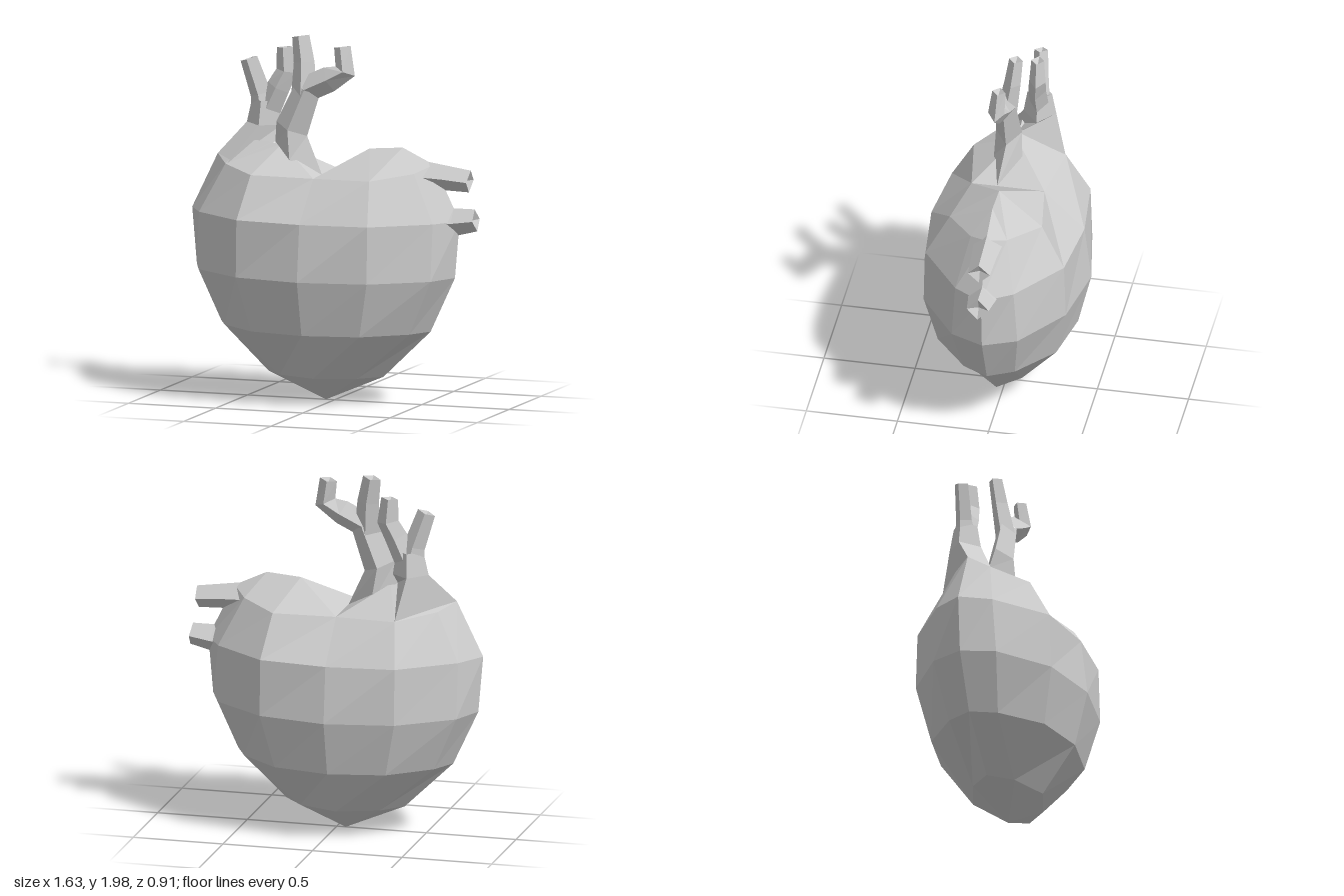
import * as THREE from 'three';

const V = (x, y, z) => new THREE.Vector3(x, y, z);
const material = new THREE.MeshStandardMaterial({ color: 0xcccccc, flatShading: true });

// Skins a stack of rings (each running +x, +z, -x, -z); an optional tip closes the last ring
function loft(name, rings, tip) {
  const pos = [];
  const tri = (a, b, c) => {
    const area = b.clone().sub(a).cross(c.clone().sub(a)).length();
    if (area > 1e-6) for (const p of [a, b, c]) pos.push(p.x, p.y, p.z);
  };
  const n = rings[0].length;
  for (let i = 0; i < rings.length - 1; i++) {
    for (let k = 0; k < n; k++) {
      const m = (k + 1) % n;
      const a = rings[i][k], b = rings[i][m], c = rings[i + 1][m], d = rings[i + 1][k];
      tri(a, d, b);
      tri(d, c, b);
    }
  }
  if (tip) {
    const last = rings[rings.length - 1];
    last.forEach((p, k) => tri(p, tip, last[(k + 1) % n]));
  }
  const geometry = new THREE.BufferGeometry();
  geometry.setAttribute('position', new THREE.Float32BufferAttribute(pos, 3));
  geometry.computeVertexNormals();
  const mesh = new THREE.Mesh(geometry, material);
  mesh.name = name;
  return mesh;
}

// Four-sided vessel along [x, y, z, radius] stations, with an optional base ring and a hollow end
function vessel(name, stations, { base, depth = 0.75 } = {}) {
  const pts = stations.map(([x, y, z]) => V(x, y, z));
  let t;
  const rings = pts.map((p, i) => {
    t = pts[Math.min(i + 1, pts.length - 1)].clone().sub(pts[Math.max(i - 1, 0)]).normalize();
    const u = V(0, 0, 1).addScaledVector(t, -t.z).normalize();
    const v = t.clone().cross(u);
    const r = stations[i][3];
    return [[v, r], [u, r * depth], [v, -r], [u, -r * depth]]
      .map(([dir, s]) => p.clone().addScaledVector(dir, s));
  });
  if (base) rings.unshift(base);
  return loft(name, rings, pts[pts.length - 1].clone().addScaledVector(t, -0.03));
}

// Twelve-point body ring mirrored from one quarter: points [x offset, y, z] from side to front
const CX = -0.05;
function bodyRing(q) {
  const [side, s1, s2, front] = q;
  const at = ([x, y, z], sx, sz) => V(CX + sx * x, y, sz * z);
  return [
    at(side, 1, 1), at(s1, 1, 1), at(s2, 1, 1), at(front, 1, 1),
    at(s2, -1, 1), at(s1, -1, 1), at(side, -1, 1), at(s1, -1, -1),
    at(s2, -1, -1), at(front, 1, -1), at(s2, 1, -1), at(s1, 1, -1),
  ];
}

export function createModel() {
  const group = new THREE.Group();
  group.name = 'heart';

  // Body, from the bottom point to the two lobe ridges
  const tip = [0, 0, 0];
  const rings = [
    [tip, tip, tip, tip],
    [[0.33, 0.14, 0], [0.22, 0.14, 0.12], [0.22, 0.14, 0.12], [0, 0.14, 0.2]],
    [[0.6, 0.4, 0], [0.53, 0.4, 0.14], [0.31, 0.4, 0.325], [0, 0.4, 0.385]],
    [[0.74, 0.7, 0], [0.665, 0.7, 0.18], [0.375, 0.7, 0.39], [0, 0.7, 0.457]],
    [[0.767, 1.01, 0], [0.67, 1.01, 0.16], [0.375, 1.01, 0.38], [0, 1.01, 0.42]],
    [[0.62, 1.31, 0], [0.54, 1.27, 0.1], [0.34, 1.24, 0.253], [0, 1.23, 0.2]],
    [[0.44, 1.395, 0], [0.44, 1.395, 0], [0.25, 1.38, 0], [0, 1.23, 0.2]],
  ].map(bodyRing);
  group.add(loft('body', rings));

  // Valley between the lobes
  const ridge = rings[rings.length - 1];
  group.add(loft('valley', [[ridge[2], ridge[3], ridge[4], ridge[9]]], V(CX, 1.23, 0)));

  // Rear trunk and its two branches
  group.add(vessel('rearTrunk', [
    [-0.44, 1.47, -0.1, 0.1], [-0.435, 1.6, -0.1, 0.075],
  ], {
    base: [V(-0.34, 1.39, 0), V(-0.58, 1.27, 0.1), V(-0.67, 1.31, 0), V(-0.39, 1.24, -0.25)],
    depth: 0.9,
  }));
  group.add(vessel('rearOuterBranch', [
    [-0.435, 1.52, -0.1, 0.085], [-0.46, 1.63, -0.1, 0.06], [-0.525, 1.82, -0.09, 0.05],
  ]));
  group.add(vessel('rearInnerBranch', [
    [-0.42, 1.54, -0.1, 0.07], [-0.36, 1.67, -0.1, 0.065],
    [-0.315, 1.76, -0.11, 0.06], [-0.325, 1.89, -0.11, 0.047],
  ]));

  // Front trunk and its two branches
  group.add(vessel('frontTrunk', [
    [-0.235, 1.47, 0.03, 0.095], [-0.145, 1.69, 0.03, 0.075],
  ], {
    base: [V(-0.05, 1.23, 0.06), V(-0.22, 1.31, 0.11), V(-0.34, 1.39, 0), V(-0.2, 1.26, -0.05)],
  }));
  group.add(vessel('frontUpperBranch', [
    [-0.165, 1.64, 0.03, 0.075], [-0.175, 1.83, 0.0, 0.06], [-0.2, 1.97, -0.015, 0.05],
  ]));
  group.add(vessel('frontHookedBranch', [
    [-0.15, 1.69, 0.03, 0.07], [-0.02, 1.75, 0.035, 0.07],
    [0.075, 1.8, 0.04, 0.06], [0.055, 1.93, 0.03, 0.048],
  ]));

  // Two short side vessels
  group.add(vessel('upperSideVessel', [[0.5, 1.25, 0, 0.08], [0.63, 1.243, 0, 0.068], [0.775, 1.23, 0, 0.06]], { depth: 1 }));
  group.add(vessel('lowerSideVessel', [[0.6, 1.0, 0, 0.09], [0.69, 1.005, 0, 0.075], [0.81, 1.02, 0, 0.06]], { depth: 1 }));

  return group;
}
